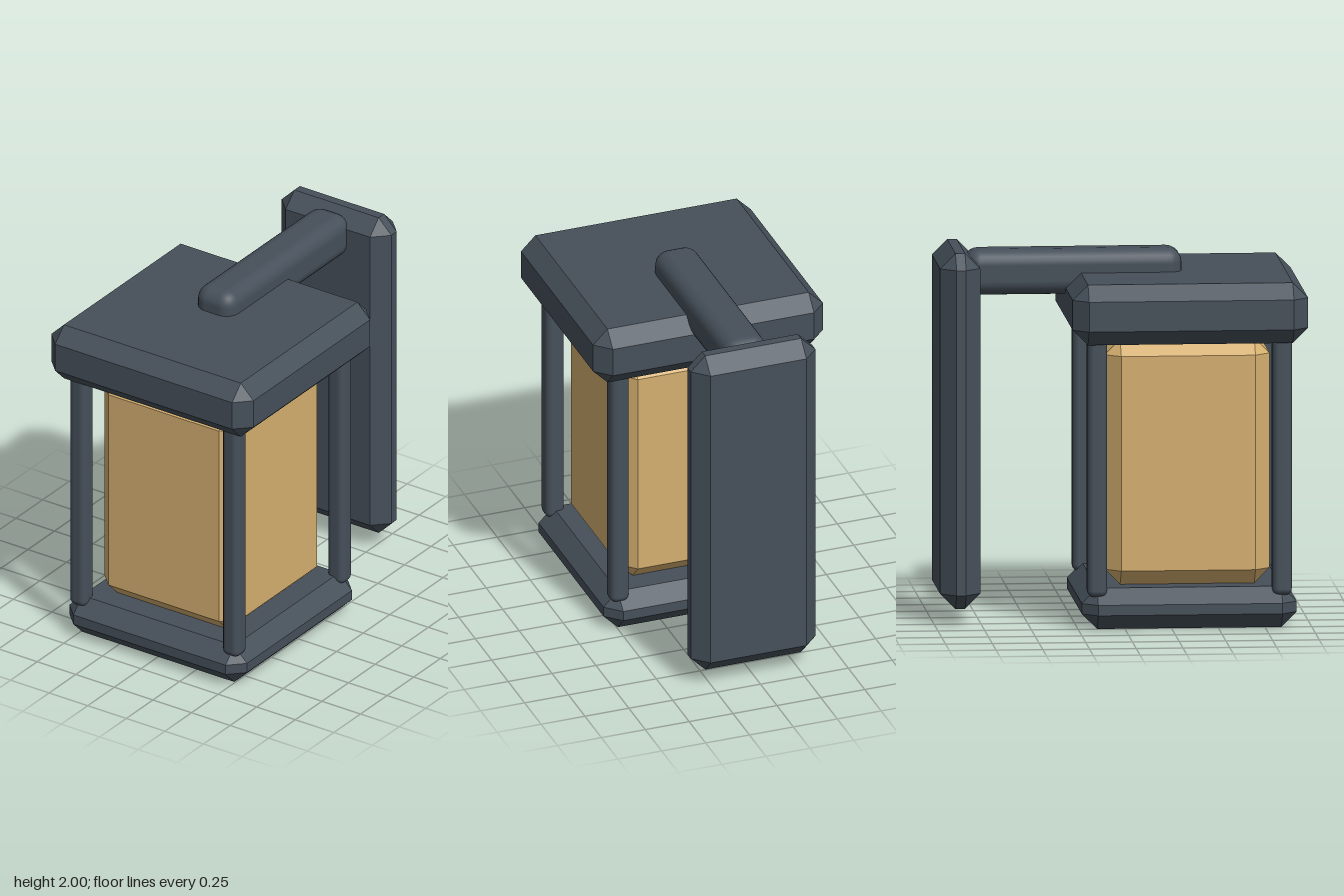
import * as THREE from 'three';
import { ConvexGeometry } from 'three/addons/geometries/ConvexGeometry.js';
import { RoundedBoxGeometry } from 'three/addons/geometries/RoundedBoxGeometry.js';

const metal = new THREE.MeshStandardMaterial({ color: 0x46505a });
metal.name = 'dark slate metal';
const glass = new THREE.MeshStandardMaterial({ color: 0xd6b070 });
glass.name = 'amber glass';

// Box with every edge cut at 45 degrees
function chamferBox(w, h, d, c) {
  const half = [w / 2, h / 2, d / 2];
  const points = [];
  for (const sx of [-1, 1]) for (const sy of [-1, 1]) for (const sz of [-1, 1]) {
    for (let axis = 0; axis < 3; axis++) {
      const p = half.map((v, i) => (i === axis ? v : v - c));
      points.push(new THREE.Vector3(sx * p[0], sy * p[1], sz * p[2]));
    }
  }
  return new ConvexGeometry(points);
}

export function createModel() {
  const model = new THREE.Group();
  model.name = 'wallLantern';
  const bodyZ = 0.345; // centre of the lantern body
  const bevel = 0.082;

  function add(name, geometry, material, x, y, z) {
    const mesh = new THREE.Mesh(geometry, material);
    mesh.name = name;
    mesh.position.set(x, y, z);
    model.add(mesh);
  }

  // Lantern body
  add('base', chamferBox(1.15, 0.22, 1.15, bevel), metal, 0, 0.11, bodyZ);
  add('glassBody', chamferBox(0.882, 1.32, 0.882, bevel), glass, 0, 0.88, bodyZ);
  add('roof', chamferBox(1.31, 0.325, 1.26, bevel), metal, 0, 1.7025, bodyZ);

  // Corner posts
  const post = new RoundedBoxGeometry(0.105, 1.42, 0.105, 3, 0.035);
  for (const side of [1, -1]) {
    for (const end of [1, -1]) {
      const name = (end > 0 ? 'front' : 'back') + (side > 0 ? 'Left' : 'Right') + 'Post';
      add(name, post, metal, side * 0.495, 0.885, bodyZ + end * 0.495);
    }
  }

  // Wall mounting
  add('arm', new RoundedBoxGeometry(0.245, 0.245, 1.16, 3, 0.08), metal, 0, 1.867, -0.24);
  add('wallPlate', chamferBox(0.71, 1.915, 0.215, bevel), metal, 0, 1.0425, -0.8625);

  return model;
}
